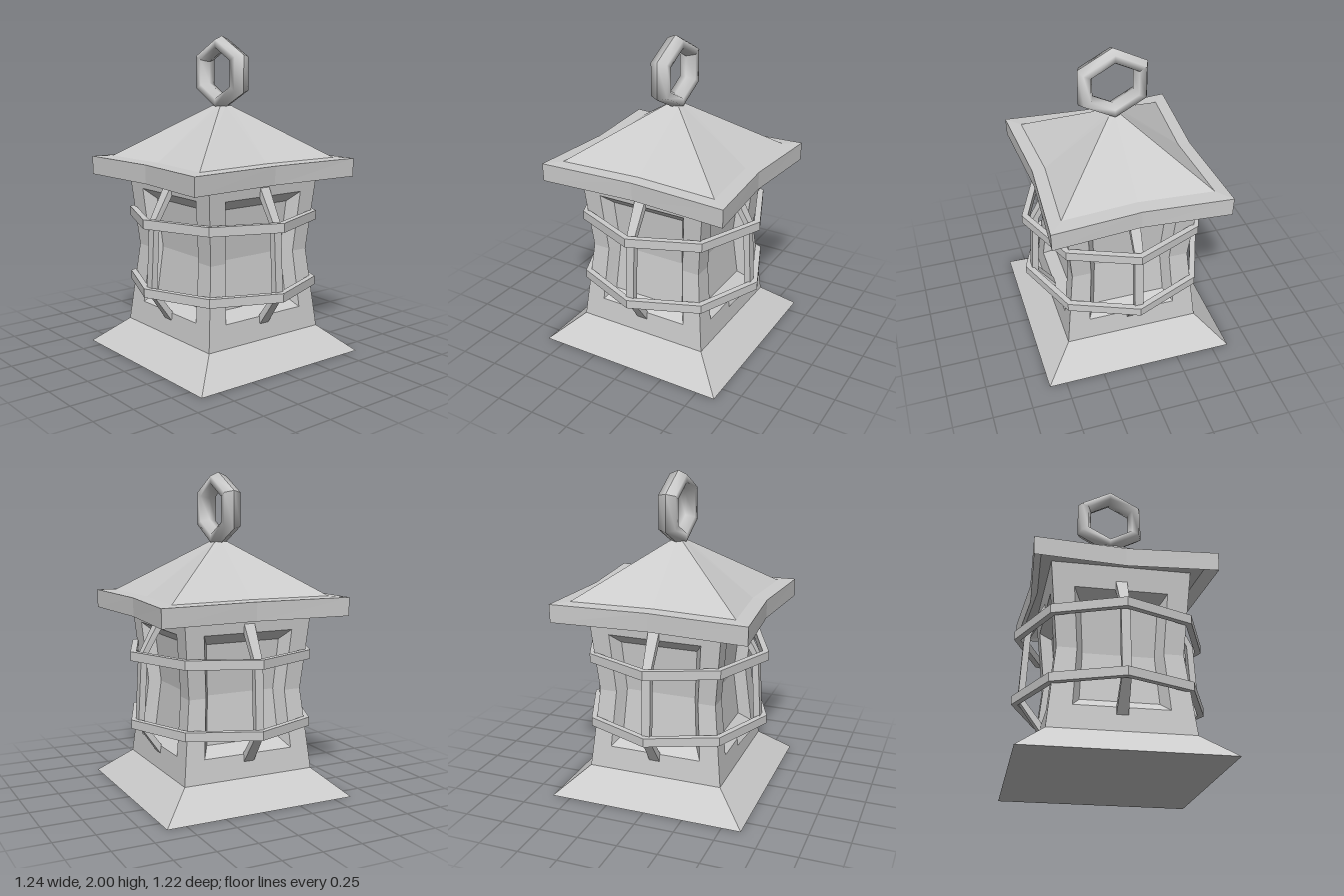
import * as THREE from 'three';

const material = new THREE.MeshStandardMaterial({ color: 0xcccccc, flatShading: true });
const smooth = new THREE.MeshStandardMaterial({ color: 0xcccccc });

// Faceted mesh from a list of four-cornered faces
function quadMesh(name, quads) {
  const pos = [];
  for (const [a, b, c, d] of quads) pos.push(...a, ...b, ...c, ...a, ...c, ...d);
  const geo = new THREE.BufferGeometry();
  geo.setAttribute('position', new THREE.Float32BufferAttribute(pos, 3));
  geo.computeVertexNormals();
  return named(name, new THREE.Mesh(geo, material));
}

function named(name, object) {
  object.name = name;
  return object;
}

// Skin over closed cross-sections, listed from bottom to top
function loft(name, rings) {
  const quads = [];
  for (let k = 0; k + 1 < rings.length; k++) {
    const lo = rings[k], hi = rings[k + 1], n = lo.length;
    for (let i = 0; i < n; i++) {
      const j = (i + 1) % n;
      quads.push([lo[i], lo[j], hi[j], hi[i]]);
    }
  }
  return quadMesh(name, quads);
}

// Rectangle with corners (cx, cz) whose side middles lie at mx and mz
function ring(y, cx, cz, mx = cx, mz = cz) {
  return [[0, y, mz], [cx, y, cz], [mx, y, 0], [cx, y, -cz],
    [0, y, -mz], [-cx, y, -cz], [-mx, y, 0], [-cx, y, cz]];
}

// Half width of the waisted body at a height
function bodyHalf(y) {
  return y < 0.67 ? THREE.MathUtils.mapLinear(y, 0.165, 0.67, 0.432, 0.378)
    : THREE.MathUtils.mapLinear(y, 0.67, 1.13, 0.378, 0.42);
}

// One wall with a bevelled, recessed window
function wall(s) {
  const at = (u, y, depth = 0) => [u, y, bodyHalf(y) - depth];
  const corner = (side, y) => at(side * bodyHalf(y), y);
  const outer = [[0.295, 0.31], [0.268, 0.67], [0.295, 1.05]];
  const inner = [[0.245, 0.37], [0.225, 0.67], [0.245, 0.985]];
  const o = (side, i) => at(side * outer[i][0] * s, outer[i][1]);
  const n = (side, i) => at(side * inner[i][0] * s, inner[i][1], 0.07);
  const c = (side, i) => corner(side, outer[i][1]);
  const quads = [
    // Strips below and above the window
    [corner(-1, 0.165), corner(1, 0.165), c(1, 0), c(-1, 0)],
    [c(-1, 2), c(1, 2), corner(1, 1.21), corner(-1, 1.21)],
    // Sill and head bevels
    [o(-1, 0), o(1, 0), n(1, 0), n(-1, 0)],
    [n(-1, 2), n(1, 2), o(1, 2), o(-1, 2)],
  ];
  for (let i = 0; i < 2; i++) {
    quads.push(
      [c(-1, i), o(-1, i), o(-1, i + 1), c(-1, i + 1)],
      [o(1, i), c(1, i), c(1, i + 1), o(1, i + 1)],
      [o(-1, i), n(-1, i), n(-1, i + 1), o(-1, i + 1)],
      [n(1, i), o(1, i), o(1, i + 1), n(1, i + 1)],
      [n(-1, i), n(1, i), n(1, i + 1), n(-1, i + 1)],
    );
  }
  return quadMesh('windowWall', quads);
}

// Bent guard bar: half width, outer point and inner point of each section
function guardBar() {
  const sections = [
    [0.035, [0.415, 0.255], [0.4, 0.30]],
    [0.027, [0.56, 0.46], [0.52, 0.46]],
    [0.027, [0.537, 0.89], [0.497, 0.89]],
    [0.035, [0.415, 1.11], [0.4, 1.06]],
  ];
  return loft('guardBar', sections.map(([w, [ro, yo], [ri, yi]]) =>
    [[-w, yo, ro], [w, yo, ro], [w, yi, ri], [-w, yi, ri]]));
}

export function createModel() {
  const model = named('lantern', new THREE.Group());

  // Flared foot
  model.add(loft('base', [
    ring(0, 0, 0), ring(0, 0.62, 0.61), ring(0.165, 0.432, 0.432), ring(0.165, 0, 0),
  ]));

  // Four walls, each with a guard bar
  for (let k = 0; k < 4; k++) {
    const side = named('side', new THREE.Group());
    side.add(wall(k % 2 ? 0.96 : 1), guardBar());
    side.rotation.y = k * Math.PI / 2;
    model.add(side);
  }

  // Octagonal guard bands
  for (const [y0, y1] of [[0.435, 0.49], [0.86, 0.917]]) {
    const profile = [[0.557, y0], [0.597, y0], [0.597, y1], [0.557, y1], [0.557, y0]]
      .map(([x, y]) => new THREE.Vector2(x, y));
    model.add(named('guardBand', new THREE.Mesh(new THREE.LatheGeometry(profile, 8), material)));
  }

  // Roof with hollow underside, bowed eaves and pyramid top
  model.add(loft('roof', [
    ring(1.2, 0.35, 0.35),
    ring(1.2, 0.56, 0.5, 0.525, 0.465),
    ring(1.13, 0.617, 0.547, 0.573, 0.507),
    ring(1.245, 0.618, 0.55, 0.575, 0.512),
    ring(1.25, 0.52, 0.465, 0.485, 0.432),
    ring(1.57, 0.045, 0.04),
    ring(1.575, 0, 0),
  ]));

  // Six-sided hanging ring
  const loop = new THREE.TorusGeometry(0.19, 0.05, 6, 6);
  loop.rotateZ(Math.PI / 6);
  loop.rotateY(Math.PI / 2);
  loop.scale(1.27, 0.95, 1.03);
  loop.translate(0, 1.772, 0);
  loop.computeVertexNormals();
  model.add(named('hangingRing', new THREE.Mesh(loop, smooth)));

  return model;
}
